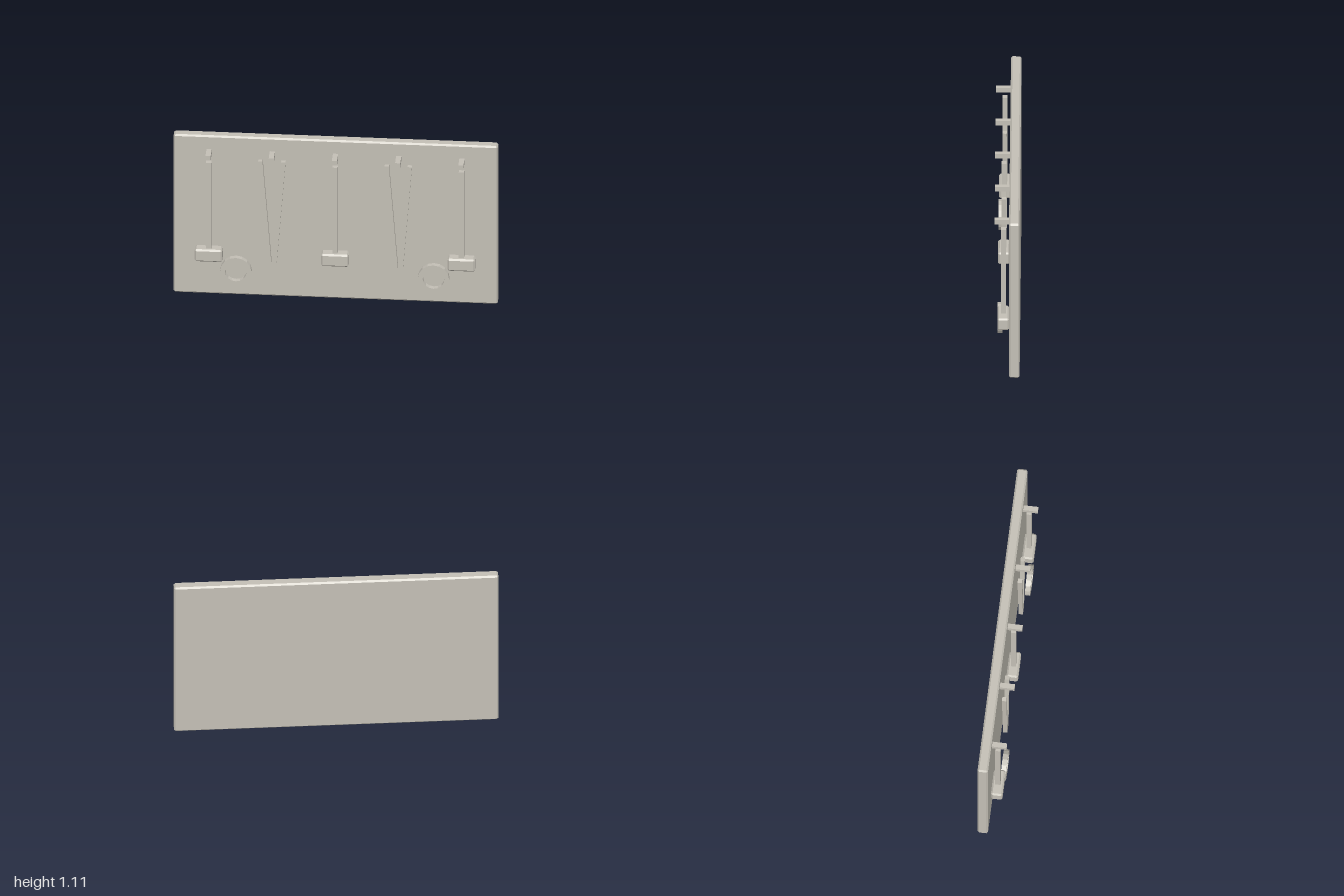
import * as THREE from 'three';
import { ConvexGeometry } from 'three/addons/geometries/ConvexGeometry.js';

// Box with every edge cut by a small chamfer
function chamferBox(w, h, d, c) {
  const pts = [];
  for (const x of [-1, 1]) for (const y of [-1, 1]) for (const z of [-1, 1]) {
    for (let face = 0; face < 3; face++) {
      pts.push(new THREE.Vector3(
        x * (w / 2 - (face === 0 ? 0 : c)),
        y * (h / 2 - (face === 1 ? 0 : c)),
        z * (d / 2 - (face === 2 ? 0 : c))));
    }
  }
  return new ConvexGeometry(pts);
}

// Flat ring with a square section
function ringGeometry(outer, inner, depth) {
  const outline = (r) => Array.from({ length: 16 }, (_, i) => {
    const a = i / 16 * Math.PI * 2;
    return new THREE.Vector2(Math.cos(a) * r, Math.sin(a) * r);
  });
  const shape = new THREE.Shape(outline(outer));
  shape.holes.push(new THREE.Path(outline(inner)));
  return new THREE.ExtrudeGeometry(shape, { depth, bevelEnabled: false });
}

export function createModel() {
  const model = new THREE.Group();
  model.name = 'toolBoard';
  const material = new THREE.MeshStandardMaterial({ color: 0xc4c0b6 });
  material.name = 'warm grey';

  const add = (parent, name, geometry, x, y, z) => {
    const mesh = new THREE.Mesh(geometry, material);
    mesh.name = name;
    mesh.position.set(x, y, z);
    parent.add(mesh);
    return mesh;
  };

  // Backing board
  add(model, 'board', chamferBox(2, 1.11, 0.065, 0.01), 0, 0.555, -0.0445);

  // Pegs along the top
  const pegGeometry = new THREE.BoxGeometry(0.032, 0.032, 0.094);
  for (const x of [-0.78, -0.39, 0, 0.39, 0.78]) add(model, 'peg', pegGeometry, x, 1.002, 0.032);

  // Hammers: straight handle and chamfered head
  const handleGeometry = new THREE.BoxGeometry(0.033, 0.615, 0.031);
  const headGeometry = chamferBox(0.17, 0.085, 0.072, 0.01);
  for (const x of [-0.78, 0, 0.78]) {
    const hammer = new THREE.Group();
    hammer.name = 'hammer';
    hammer.position.x = x;
    add(hammer, 'handle', handleGeometry, 0, 0.64, 0.024);
    add(hammer, 'head', headGeometry, 0, 0.303, 0.025);
    model.add(hammer);
  }

  // Tongs: two arms leaning apart towards the top
  const armGeometry = new THREE.BoxGeometry(0.027, 0.715, 0.027);
  for (const x of [-0.39, 0.39]) {
    const tongs = new THREE.Group();
    tongs.name = 'tongs';
    tongs.position.x = x;
    for (const side of [-1, 1]) {
      add(tongs, 'arm', armGeometry, side * 0.0435, 0.613, 0.0235).rotation.z = -side * 0.077;
    }
    model.add(tongs);
  }

  // Rings near the bottom
  const ring = ringGeometry(0.097, 0.067, 0.032);
  for (const x of [-0.61, 0.61]) add(model, 'ring', ring, x, 0.202, 0.03);

  return model;
}
